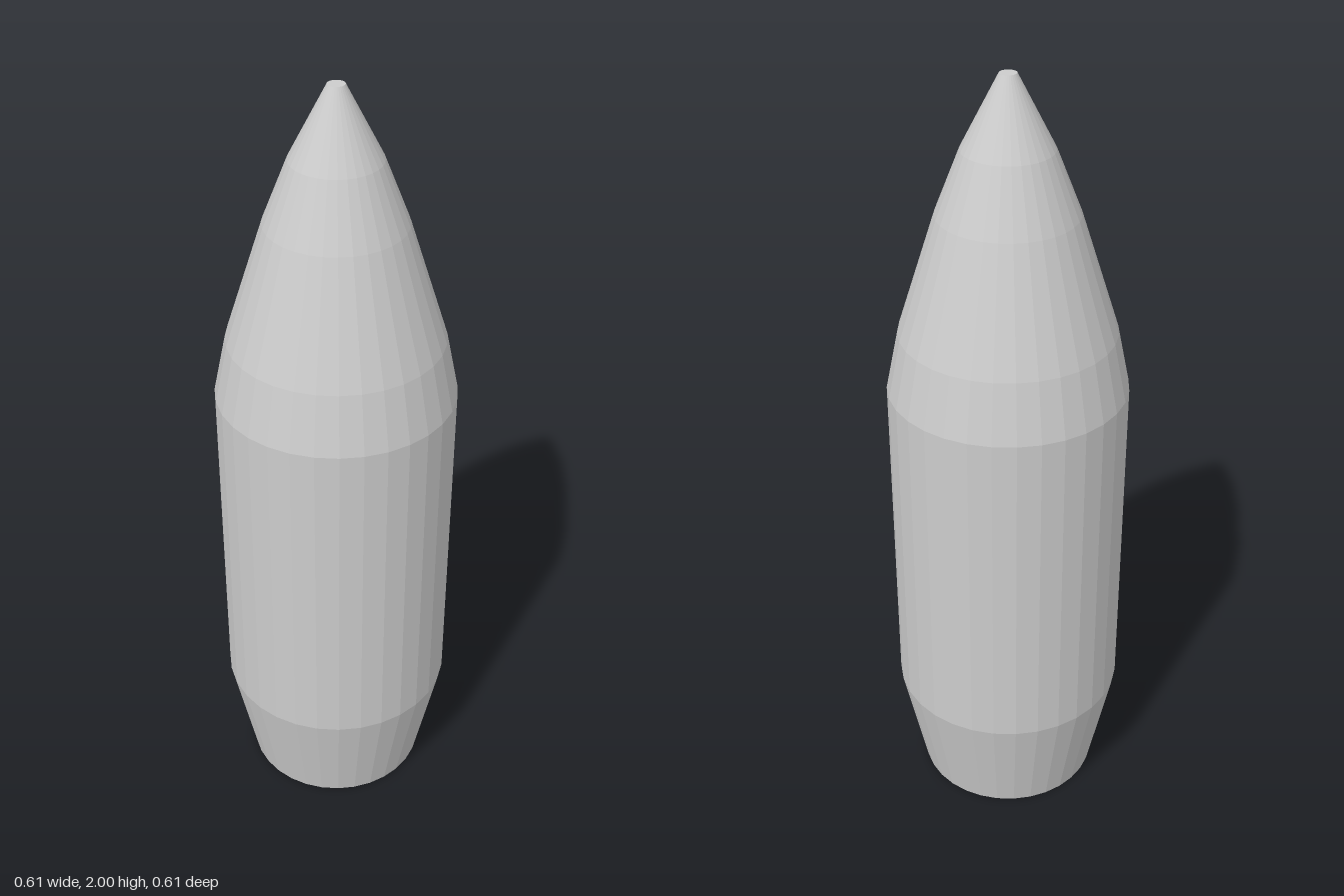
import * as THREE from 'three';

const SIDES = 32;
const material = new THREE.MeshStandardMaterial({ color: 0xcccccc, flatShading: true });

// Revolves a list of [radius, height] points, bottom to top
function turned(name, profile) {
  const points = profile.map(([r, y]) => new THREE.Vector2(r, y));
  const mesh = new THREE.Mesh(new THREE.LatheGeometry(points, SIDES), material);
  mesh.name = name;
  return mesh;
}

export function createModel() {
  const model = new THREE.Group();
  model.name = 'projectile';
  model.add(
    // Tapered tail, closed underneath
    turned('tail', [[0, 0], [0.24, 0], [0.303, 0.307]]),
    // Straight cylindrical body
    turned('body', [[0.303, 0.307], [0.303, 1.212]]),
    // Curved nose ending in a small flat tip
    turned('nose', [[0.303, 1.212], [0.271, 1.365], [0.174, 1.668], [0.112, 1.825], [0.021, 2], [0, 2]]),
  );
  return model;
}
